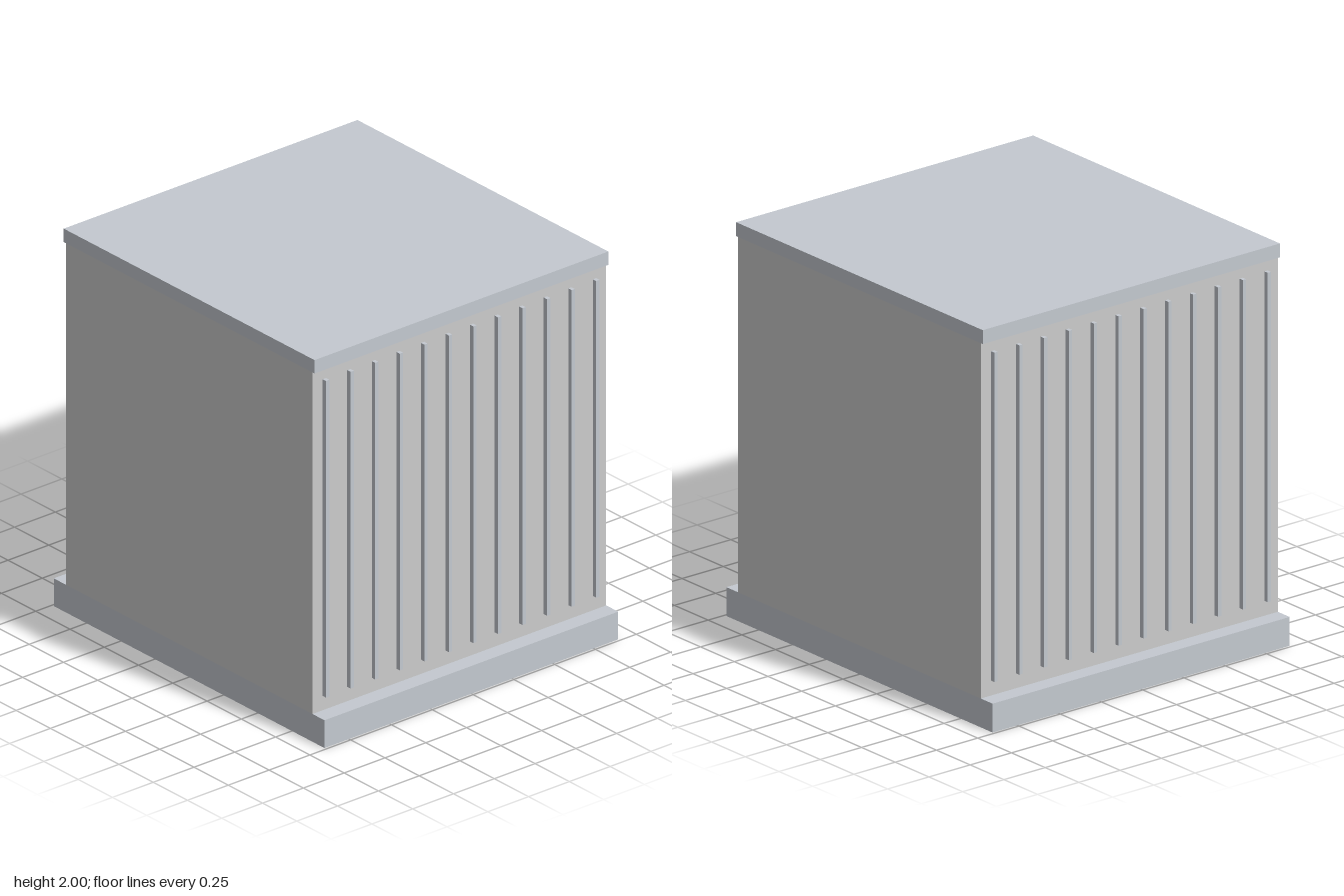
import * as THREE from 'three';

const bodyMaterial = new THREE.MeshStandardMaterial({ color: 0xcccccc });
const trimMaterial = new THREE.MeshStandardMaterial({ color: 0xc4c9d0 });

const WIDTH = 1.8;
const BASE_TOP = 0.145;
const CAP_BOTTOM = 1.93;
const BODY_DEPTH = 1.8;

// Box spanning y0..y1, centred on x and z
function slab(name, width, y0, y1, depth, material, x = 0, z = 0) {
  const mesh = new THREE.Mesh(new THREE.BoxGeometry(width, y1 - y0, depth), material);
  mesh.name = name;
  mesh.position.set(x, (y0 + y1) / 2, z);
  return mesh;
}

export function createModel() {
  const model = new THREE.Group();
  model.name = 'ribbedBlock';

  // Plinth, main block and top cap, flush on the left and right sides
  model.add(
    slab('base', WIDTH, 0, BASE_TOP, 1.975, trimMaterial),
    slab('body', WIDTH, BASE_TOP, CAP_BOTTOM, BODY_DEPTH, bodyMaterial),
    slab('cap', WIDTH, CAP_BOTTOM, 2, 1.83, trimMaterial)
  );

  // Twelve thin vertical ribs on the front and on the back
  const count = 12;
  const pitch = 0.1505;
  const ribDepth = 0.025;
  for (const side of [1, -1]) {
    const ribs = new THREE.Group();
    ribs.name = side > 0 ? 'frontRibs' : 'backRibs';
    for (let i = 0; i < count; i++) {
      const x = (i - (count - 1) / 2) * pitch;
      const z = side * (BODY_DEPTH + ribDepth) / 2;
      ribs.add(slab('rib', 0.02, 0.22, 1.875, ribDepth, trimMaterial, x, z));
    }
    model.add(ribs);
  }

  return model;
}
